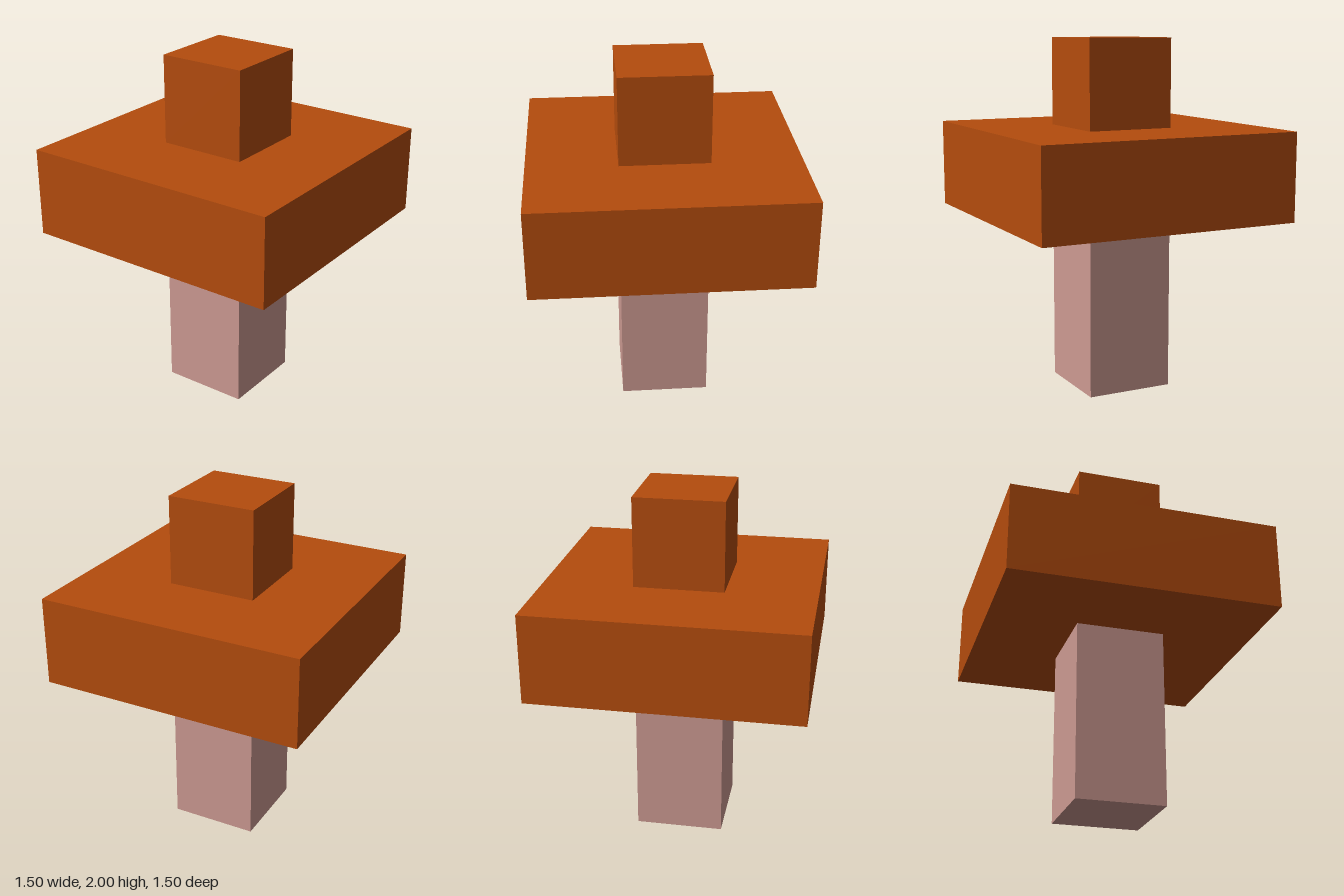
import * as THREE from 'three';

export function createModel() {
  const model = new THREE.Group();
  model.name = 'mushroom';

  const capMaterial = new THREE.MeshStandardMaterial({ color: 0xb44c0d });
  capMaterial.name = 'rust orange';
  const stemMaterial = new THREE.MeshStandardMaterial({ color: 0xcd9a92 });
  stemMaterial.name = 'dusty pink';

  // A square block standing on the given height
  function addBlock(name, width, height, bottom, material) {
    const mesh = new THREE.Mesh(new THREE.BoxGeometry(width, height, width), material);
    mesh.name = name;
    mesh.position.y = bottom + height / 2;
    model.add(mesh);
  }

  addBlock('stem', 0.5, 1, 0, stemMaterial);
  addBlock('cap', 1.5, 0.5, 1, capMaterial);
  addBlock('capTop', 0.5, 0.5, 1.5, capMaterial);

  return model;
}
